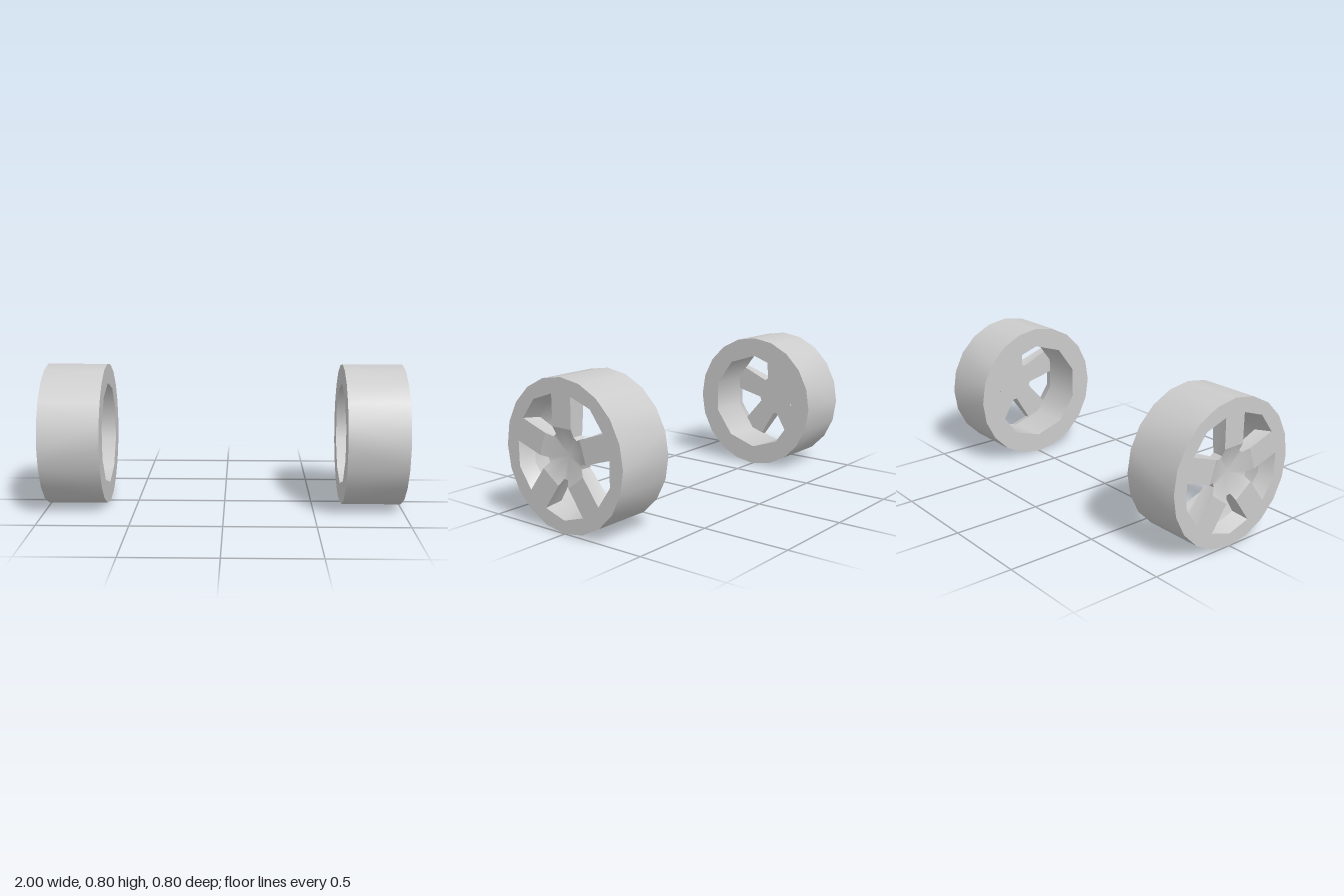
import * as THREE from 'three';
import { toCreasedNormals } from 'three/addons/utils/BufferGeometryUtils.js';

const R = 0.4, WIDTH = 0.335, SPOKE = 0.08, SECTORS = 5;
const BORE_FRONT = 0.297, BORE_BACK = 0.29;

// Point at an angle (degrees) from the middle of a window: [sideways, outward, depth]
const polar = (r, deg, d) => {
  const a = THREE.MathUtils.degToRad(deg);
  return [r * Math.sin(a), r * Math.cos(a), d];
};

// Half of one wheel sector, from the window's middle to the spoke's middle
const P = {
  // outer rim, outside and inside edge
  o0: polar(R, 0, 0), o1: polar(R, 18, 0), o2: polar(R, 36, 0),
  i0: polar(R, 0, WIDTH), i1: polar(R, 18, WIDTH), i2: polar(R, 36, WIDTH),
  // window outline on the outside face
  mid: [0, 0.33, 0], corner: [0.13, 0.29, 0], knee: [0.034, 0.155, 0],
  tip: [0.013, 0.12, 0.02], tipMid: [0, 0.12, 0.02],
  // window outline on the back of the spokes
  midB: [0, BORE_FRONT, SPOKE], cornerB: [0.1, 0.2645, SPOKE],
  tipB: [0.013, 0.12, SPOKE], tipMidB: [0, 0.12, SPOKE],
  // hub and spoke centre lines
  spokeEnd: polar(0.147, 36, 0), hub: [0, 0, 0.045], hubB: [0, 0, SPOKE],
  bore: polar(BORE_FRONT, 36, SPOKE),
  // inside end of the ten-sided bore
  boreMidEnd: [0, BORE_BACK, WIDTH], boreEnd: polar(BORE_BACK, 36, WIDTH),
};

// Convex faces of the half sector, grouped by part
const PARTS = {
  tread: ['o0 i0 i1 o1', 'o1 i1 i2 o2'],
  rimAndSpokeFace: ['o0 o1 corner mid', 'o1 o2 corner', 'o2 spokeEnd knee corner'],
  hubDish: ['spokeEnd hub tip knee', 'hub tipMid tip'],
  windowWalls: ['corner knee tip tipB cornerB', 'mid corner cornerB midB', 'tip tipMid tipMidB tipB'],
  spokeBack: ['cornerB tipB hubB bore', 'tipB tipMidB hubB'],
  bore: ['midB cornerB bore boreEnd boreMidEnd'],
  innerRimFace: ['boreMidEnd boreEnd i2 i1 i0'],
};

// Repeats the faces around the axle, mirrored within each sector
function wheelPart(faces) {
  const pos = [];
  for (let s = 0; s < SECTORS; s++) {
    const a = (s / SECTORS) * Math.PI * 2, c = Math.cos(a), n = Math.sin(a);
    for (const m of [1, -1]) {
      const place = ([u, v, d]) => [1 - d, R - v * c + m * u * n, -(v * n + m * u * c)];
      for (const face of faces) {
        const pts = face.split(' ').map((k) => place(P[k]));
        if (m < 0) pts.reverse().unshift(pts.pop());
        for (let i = 1; i < pts.length - 1; i++) pos.push(...pts[0], ...pts[i], ...pts[i + 1]);
      }
    }
  }
  const g = new THREE.BufferGeometry();
  g.setAttribute('position', new THREE.Float32BufferAttribute(pos, 3));
  return toCreasedNormals(g, 0.72);
}

export function createModel() {
  const model = new THREE.Group();
  model.name = 'wheelPair';
  const material = new THREE.MeshStandardMaterial({ color: 0xcccccc });

  const left = new THREE.Group();
  left.name = 'leftWheel';
  for (const [name, faces] of Object.entries(PARTS)) {
    const mesh = new THREE.Mesh(wheelPart(faces), material);
    mesh.name = name;
    left.add(mesh);
  }

  // The opposite wheel is the same one turned about
  const right = left.clone();
  right.name = 'rightWheel';
  right.rotation.y = Math.PI;

  model.add(left, right);
  return model;
}
